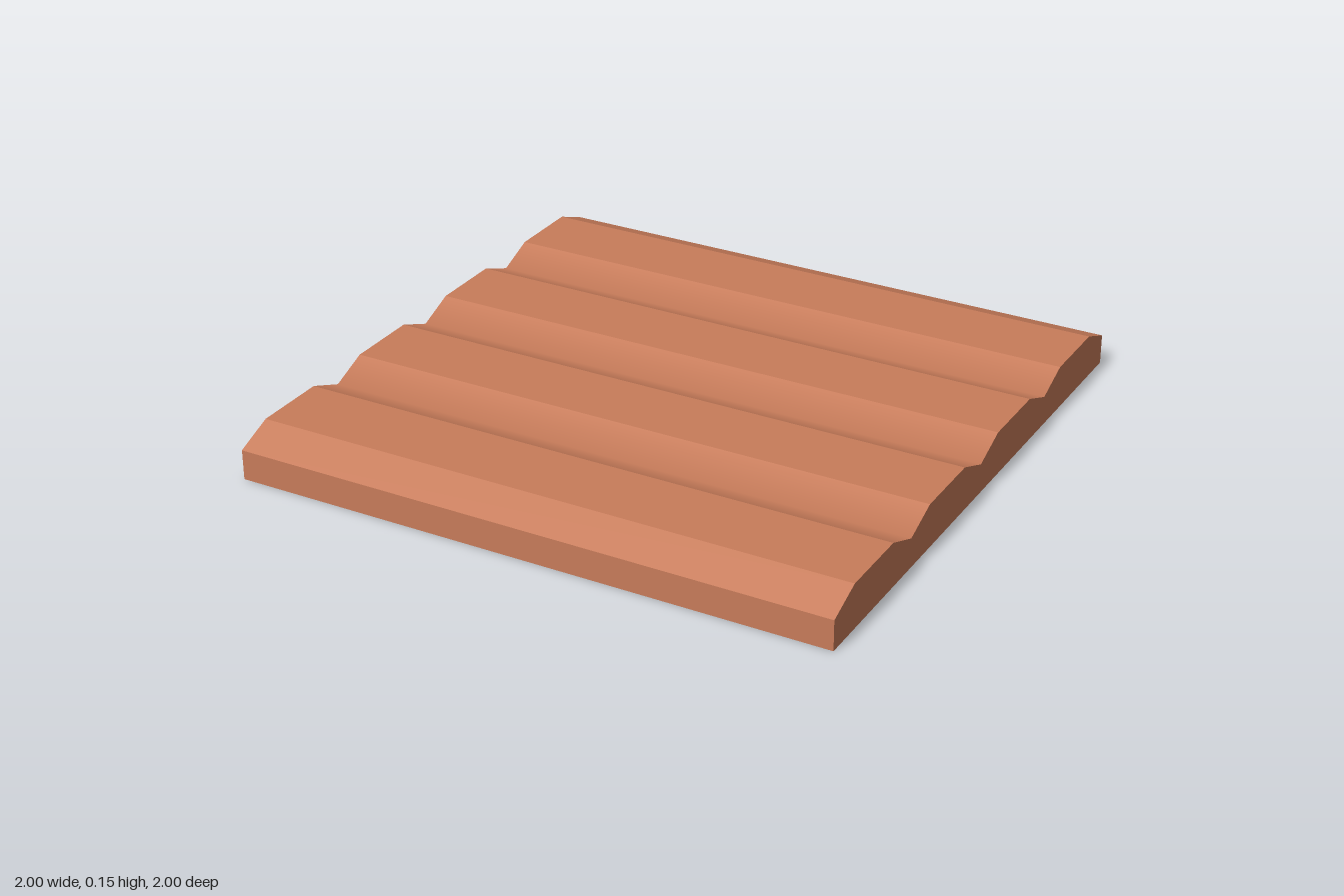
import * as THREE from 'three';

const RIDGES = 4, PITCH = 0.5, SLOPE = 0.125, LOW = 0.1, HIGH = 0.15;

// Cross-section: flat base with a row of bevelled ridges on top
function ridgedProfile() {
  const shape = new THREE.Shape();
  shape.moveTo(-1, 0);
  shape.lineTo(1, 0);
  shape.lineTo(1, LOW);
  for (let i = 0; i < RIDGES; i++) {
    const start = 1 - i * PITCH;
    shape.lineTo(start - SLOPE, HIGH);
    shape.lineTo(start - PITCH + SLOPE, HIGH);
    shape.lineTo(start - PITCH, LOW);
  }
  shape.closePath();
  return shape;
}

export function createModel() {
  const group = new THREE.Group();
  group.name = 'ridgedTile';
  const terracotta = new THREE.MeshStandardMaterial({ color: 0xc87c5a });
  terracotta.name = 'terracotta';

  // Run the profile across the width
  const geometry = new THREE.ExtrudeGeometry(ridgedProfile(), { depth: 2, bevelEnabled: false });
  geometry.translate(0, 0, -1);
  geometry.rotateY(Math.PI / 2);

  // Soften the shading in the grooves only; all other edges stay sharp
  const position = geometry.attributes.position, normal = geometry.attributes.normal;
  for (let i = 0; i < position.count; i++) {
    const inGroove = Math.abs(position.getY(i) - LOW) < 1e-4 && Math.abs(position.getZ(i)) < 0.9;
    if (inGroove && Math.abs(normal.getX(i)) < 0.5) normal.setXYZ(i, 0, 1, 0);
  }

  const slab = new THREE.Mesh(geometry, terracotta);
  slab.name = 'ridgedSlab';
  group.add(slab);
  return group;
}
